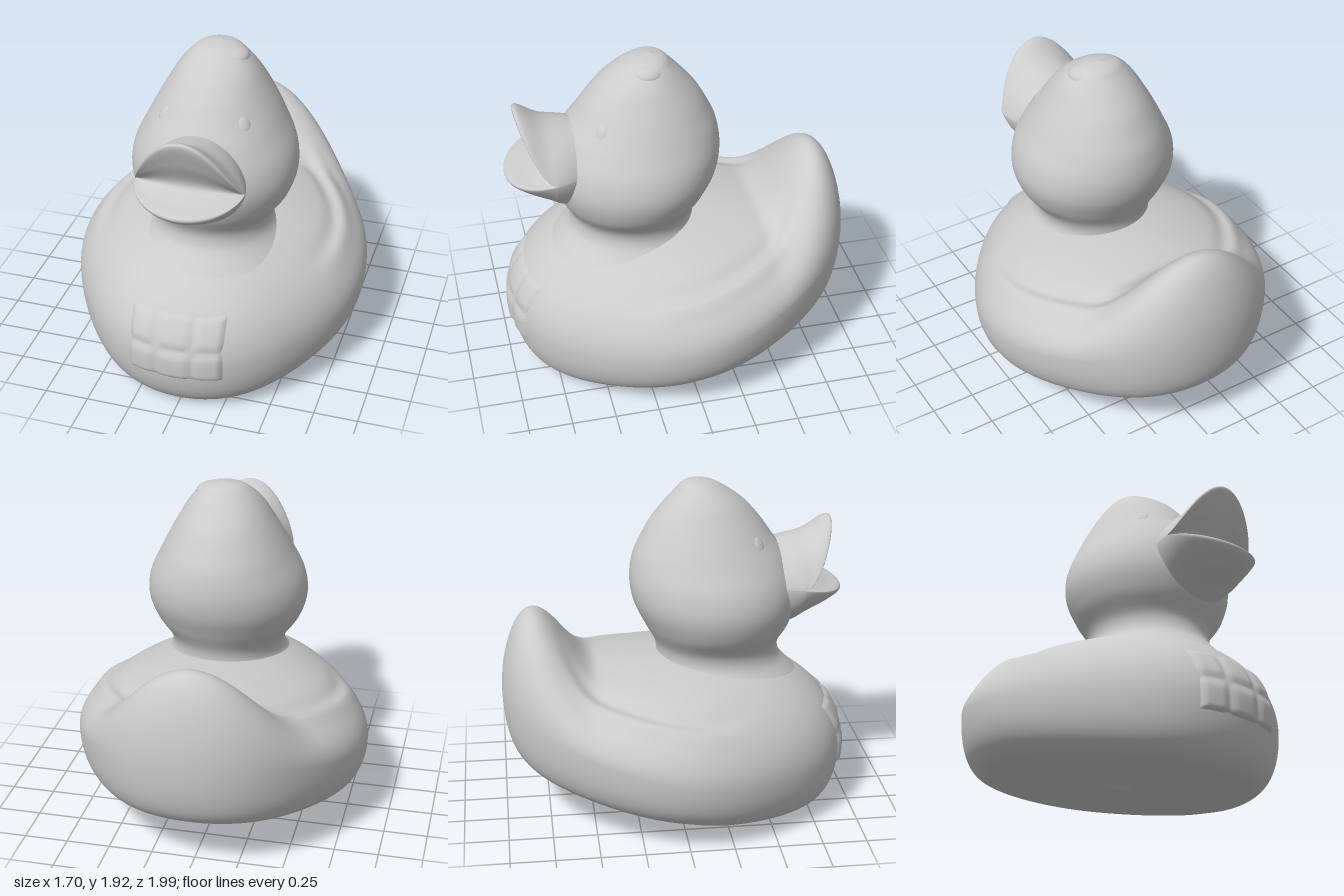
import * as THREE from 'three';

const material = new THREE.MeshStandardMaterial({ color: 0xcccccc });
const { smoothstep } = THREE.MathUtils;
const gauss = (d, w) => Math.exp(-((d / w) ** 2));

// Grid surface from point(u, v); u wraps around, v runs from end to end
function loft(name, nu, nv, point) {
  const pos = [], index = [];
  for (let j = 0; j <= nv; j++)
    for (let i = 0; i < nu; i++) pos.push(...point(i / nu, j / nv));
  for (let j = 0; j < nv; j++)
    for (let i = 0; i < nu; i++) {
      const k = (i + 1) % nu;
      const a = j * nu + i, b = j * nu + k, c = b + nu, d = a + nu;
      index.push(a, b, c, a, c, d);
    }
  const g = new THREE.BufferGeometry();
  g.setAttribute('position', new THREE.Float32BufferAttribute(pos, 3));
  g.setIndex(index);
  g.computeVertexNormals();
  return named(name, g);
}

function named(name, geometry) {
  const mesh = new THREE.Mesh(geometry, material);
  mesh.name = name;
  return mesh;
}

const midHeight = z => 0.45 - 0.185 * z + 0.085 * z * z;
const baseHeight = z => 0.13 - 0.19 * z;
const TOP = 0.925;

// Body: oval plan, slanted base, domed top that sweeps up into the tail
function bodyPoint(u, v) {
  const theta = u * Math.PI * 2, phi = v * Math.PI;
  const rho = Math.sin(phi), c = Math.cos(theta);
  const x = 0.85 * rho * Math.sin(theta) * (1 - 0.06 * Math.sin(2 * theta) ** 2);
  const z = rho * c * (c > 0 ? 0.975 : 1);
  const mid = midHeight(z);
  let y;
  if (v < 0.5) {
    const base = baseHeight(z), k = 9 + 7 * Math.max(0, -c);
    y = mid - (mid - base) * Math.sqrt(Math.max(0, 1 - rho ** k));
    // shallow recess and centre hole underneath
    y += 0.012 * (1 - smoothstep(rho, 0.74, 0.82)) + 0.06 * gauss(rho, 0.06);
  } else {
    const dome = Math.sqrt(Math.max(0, 1 - rho ** (2 + 0.4 * c * c)));
    const tail = 0.75 * smoothstep(-z, 0.45, 0.95) * gauss(x, 0.7);
    y = mid + (TOP - mid + tail) * dome;
    // folded wing line along each flank
    const span = smoothstep(z, -0.75, -0.4) * (1 - smoothstep(z, 0.1, 0.4));
    const line = 0.76 + 0.12 * z;
    y += span * (0.018 * gauss(rho - line - 0.09, 0.05) - 0.015 * gauss(rho - line, 0.05));
  }
  return [x, y, z];
}

// Head levels: height, half width, back z, front z
const levels = [
  [0.70, 0.54, -0.30, 0.78], [0.80, 0.405, -0.19, 0.685], [0.89, 0.335, -0.11, 0.61],
  [0.97, 0.335, -0.11, 0.60], [1.10, 0.42, -0.175, 0.665], [1.23, 0.46, -0.235, 0.70],
  [1.36, 0.445, -0.255, 0.69], [1.50, 0.38, -0.235, 0.63], [1.60, 0.33, -0.19, 0.555],
  [1.70, 0.275, -0.135, 0.485], [1.80, 0.215, -0.055, 0.395], [1.87, 0.155, 0.01, 0.30],
  [1.91, 0.10, 0.05, 0.225], [1.93, 0.001, 0.129, 0.131],
];
const sizeCurve = new THREE.CatmullRomCurve3(levels.map(l => new THREE.Vector3(l[1], l[0], 0)));
const depthCurve = new THREE.CatmullRomCurve3(levels.map(l => new THREE.Vector3(l[2], l[0], l[3])));

function headPoint(u, v) {
  const a = u * Math.PI * 2;
  const s = sizeCurve.getPoint(v), d = depthCurve.getPoint(v);
  const zc = (d.x + d.z) / 2, rz = (d.z - d.x) / 2;
  return [0.025 + s.x * Math.sin(a), s.y, zc + rz * Math.cos(a)];
}

// Open bill: side profile (z, y) that closes toward the mouth corners
const billProfile = new THREE.CatmullRomCurve3([
  [0.36, 1.52], [0.60, 1.575], [0.74, 1.61], [0.87, 1.69], [0.89, 1.685], [0.84, 1.54], [0.77, 1.375],
  [0.85, 1.325], [0.955, 1.29], [0.955, 1.27], [0.87, 1.205], [0.74, 1.135], [0.62, 1.07], [0.36, 1.14],
].map(([z, y]) => new THREE.Vector3(0, y, z)), true);

function billPoint(u, v) {
  const s = -Math.cos(v * Math.PI), g = 1 - s * s;
  const p = billProfile.getPoint(u);
  const gy = g ** (p.y > 1.37 ? 0.7 + 0.2 * smoothstep(p.z, 0.6, 0.85) : 0.6);
  const z = p.z > 0.70 ? 0.70 + (p.z - 0.70) * Math.sqrt(g) : p.z;
  const halfWidth = 0.21 + 0.09 * smoothstep(p.z, 0.4, 0.72);
  return [0.03 + halfWidth * s, 1.345 + (p.y - 1.345) * gy, z];
}

// Depth of the chest surface at a point seen from the front
function chestDepth(x, y) {
  const mid = midHeight(0.92);
  const rho = y > mid
    ? (1 - ((y - mid) / (TOP - mid)) ** 2) ** (1 / 2.36)
    : (1 - ((mid - y) / (mid - baseHeight(0.92))) ** 2) ** (1 / 9);
  return 0.975 * Math.sqrt(rho * rho - (x / 0.825) ** 2);
}

// Chest patch: two rows of three soft raised pads
function chestPatch() {
  const w = 0.62, h = 0.43;
  const g = new THREE.PlaneGeometry(w, h, 60, 40);
  const p = g.attributes.position;
  const cushion = t => Math.min(1, Math.abs(Math.sin(t * Math.PI)) * 1.6);
  for (let i = 0; i < p.count; i++) {
    const s = p.getX(i) / w + 0.5, t = p.getY(i) / h + 0.5;
    const x = p.getX(i) + 0.005, y = p.getY(i) + 0.445;
    const edge = smoothstep(Math.min(s, 1 - s, t, 1 - t), 0, 0.12);
    const pad = cushion(s * 3) * cushion(t * 2);
    p.setXYZ(i, x, y, chestDepth(x, y) - 0.045 + edge * 0.053 + pad * 0.012);
  }
  g.computeVertexNormals();
  return named('chestPatch', g);
}

// Soft rounded bump
function bump(name, position, scale, turn, lean = 0) {
  const mesh = named(name, new THREE.SphereGeometry(1, 24, 16));
  mesh.position.set(...position);
  mesh.scale.set(...scale);
  mesh.rotation.set(lean, turn, 0, 'YXZ');
  return mesh;
}

export function createModel() {
  const model = new THREE.Group();
  model.name = 'bathDuck';
  model.add(
    loft('body', 128, 120, bodyPoint),
    loft('head', 96, 96, headPoint),
    loft('bill', 96, 48, billPoint),
    chestPatch(),
    bump('crest', [0.095, 1.855, 0.16], [0.1, 0.055, 0.1], 0.5),
  );
  // eyes, mirrored about the head's centre line
  for (const side of [-1, 1])
    model.add(bump(side > 0 ? 'leftEye' : 'rightEye',
      [0.025 + side * 0.215, 1.595, 0.44], [0.045, 0.06, 0.024], side * 0.75, -0.5));
  return model;
}
